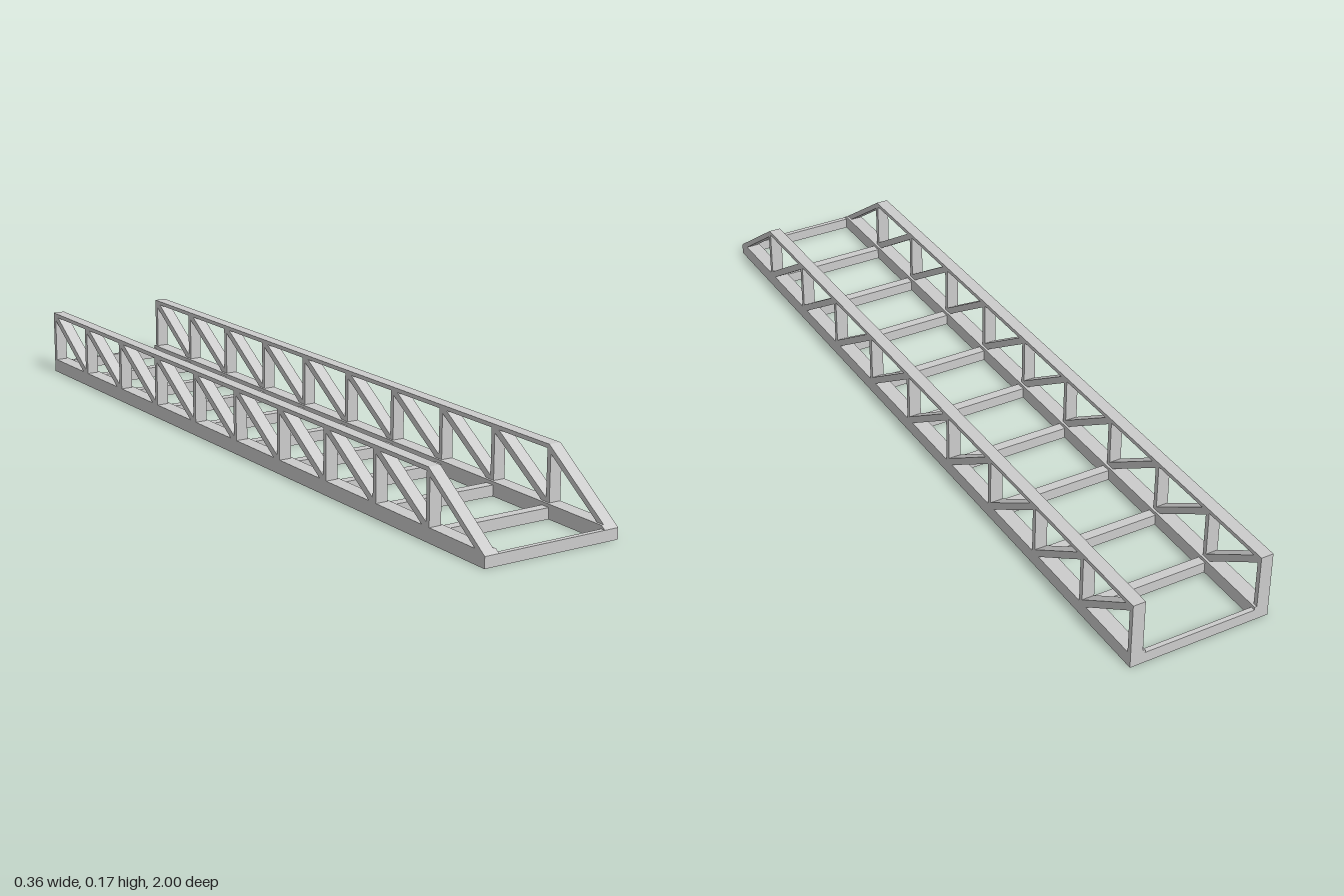
import * as THREE from 'three';

const OUT = 0.178;      // half of the overall width
const BASE = 0.035;     // bottom chord height and width
const W = 0.031;        // width of the side trusses
const TOP = 0.168, CHORD = 0.01, POST = 0.012, BAY = 0.2;

export function createModel() {
  const model = new THREE.Group();
  const mat = new THREE.MeshStandardMaterial({ color: 0xcccccc, flatShading: true });

  const add = (parent, name, geo) => {
    const mesh = new THREE.Mesh(geo, mat);
    mesh.name = name;
    parent.add(mesh);
  };

  // Side profile given as [z, y] points, extruded across x
  const plate = (parent, name, points, width, side) => {
    const shape = new THREE.Shape(points.map(([z, y]) => new THREE.Vector2(z, y)));
    const geo = new THREE.ExtrudeGeometry(shape, { depth: width, bevelEnabled: false });
    geo.rotateY(-Math.PI / 2);
    geo.translate(side > 0 ? OUT : width - OUT, 0, 0);
    add(parent, name, geo);
  };
  const bar = (z0, z1, y0, y1) => [[z0, y0], [z1, y0], [z1, y1], [z0, y1]];

  for (const side of [1, -1]) {
    const truss = new THREE.Group();
    truss.name = side > 0 ? 'leftTruss' : 'rightTruss';
    model.add(truss);

    // Bottom chord with a chamfered front end, and the slim top chord
    plate(truss, 'bottomChord', [[-1, 0], [1, 0], [1, 0.027], [0.989, BASE], [-1, BASE]], BASE + 0.002, side);
    plate(truss, 'topChord', bar(-1, 0.8, TOP - CHORD, TOP), W, side);

    // Sloping front brace
    plate(truss, 'frontBrace', [[0.989, BASE], [0.8, TOP], [0.8, 0.152], [0.966, BASE]], W, side);

    // Posts, one per bay, the last flush with the back end
    for (let i = 0; i < 10; i++) {
      const z = i === 9 ? -1 + POST / 2 : 0.8 - i * BAY;
      plate(truss, 'post', bar(z - POST / 2, z + POST / 2, BASE, TOP - CHORD), W, side);
    }

    // Diagonals from the foot of each post to the head of the next one back
    const lo = BASE, hi = TOP - CHORD, dy = 0.01, dz = 0.015;
    for (let i = 0; i < 9; i++) {
      const front = 0.8 - i * BAY - POST / 2;
      const back = i === 8 ? -1 + POST : front - BAY + POST;
      plate(truss, 'diagonal', [
        [front, lo], [front, lo + dy], [back + dz, hi],
        [back, hi], [back, hi - dy], [front - dz, lo],
      ], W, side);
    }
  }

  // Cross members, half as deep at the two ends
  const span = 2 * (OUT - BASE - 0.002);
  for (let i = 0; i <= 10; i++) {
    const end = i === 0 || i === 10;
    const depth = end ? 0.012 : 0.024;
    const z = 1 - i * BAY + (i === 0 ? -depth / 2 : i === 10 ? depth / 2 : 0);
    const geo = new THREE.BoxGeometry(span, 0.027, depth);
    geo.translate(0, 0.0135, z);
    add(model, end ? 'endCrossMember' : 'crossMember', geo);
  }
  return model;
}
